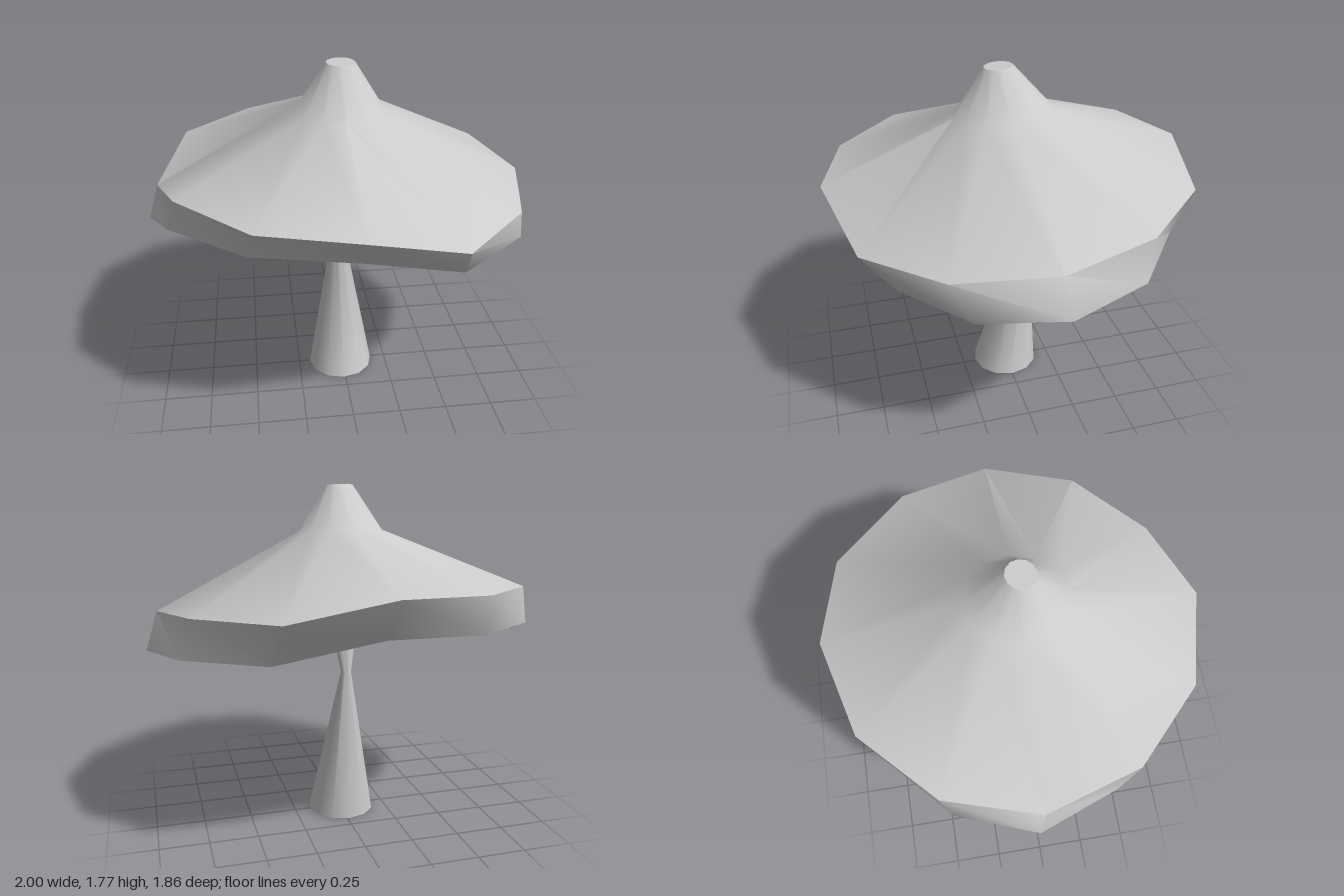
import * as THREE from 'three';
import { toCreasedNormals, mergeVertices } from 'three/addons/utils/BufferGeometryUtils.js';

const SIDES = 12;

// Elliptical ring from the front round to +x; height(i, z) gives each corner's y.
function ring(cx, cz, rx, rz, height) {
  return Array.from({ length: SIDES }, (_, i) => {
    const a = (i / SIDES) * Math.PI * 2;
    const z = cz + rz * Math.cos(a);
    return [cx + rx * Math.sin(a), height(i, z), z];
  });
}

// Skin a stack of rings with the outside facing out, optionally closing the last ring.
function loft(rings, closeEnd, crease) {
  const index = [];
  for (let r = 0; r < rings.length - 1; r++) {
    for (let i = 0; i < SIDES; i++) {
      const j = (i + 1) % SIDES;
      const a = r * SIDES + i, b = r * SIDES + j;
      index.push(a, b, a + SIDES, b, b + SIDES, a + SIDES);
    }
  }
  if (closeEnd) {
    const start = (rings.length - 1) * SIDES;
    for (let i = 1; i < SIDES - 1; i++) index.push(start, start + i, start + i + 1);
  }
  const geometry = new THREE.BufferGeometry();
  geometry.setAttribute('position', new THREE.Float32BufferAttribute(rings.flat(2), 3));
  geometry.setIndex(index);
  return mergeVertices(toCreasedNormals(geometry, crease));
}

export function createModel() {
  const model = new THREE.Group();
  const material = new THREE.MeshStandardMaterial({ color: 0xcccccc, side: THREE.DoubleSide });
  const add = (name, geometry) => {
    const mesh = new THREE.Mesh(geometry, material);
    mesh.name = name;
    model.add(mesh);
  };

  // Wavy brim heights, starting at the front and turning towards +x
  const brim = [1.24, 1.10, 1.12, 1.16, 1.20, 1.22, 1.32, 1.30, 1.28, 1.16, 1.27, 1.25];
  const upperRim = ring(-0.003, -0.003, 0.94, 0.928, (i) => brim[i]);
  const lowerRim = ring(-0.003, -0.03, 1.0, 0.785, (i, z) => brim[i] - 0.19 + 0.013 * z);

  // Slightly uneven back edge
  upperRim[5][2] -= 0.03;
  lowerRim[6][2] += 0.04;

  const stemTop = ring(-0.01, 0, 0.143, 0.138, () => 1.435);

  // Cap: underside from the stem, lip, sloping brim, neck and closed tip
  add('cap', loft([
    stemTop,
    lowerRim,
    upperRim,
    ring(-0.01, 0.01, 0.215, 0.25, (i, z) => 1.537 - 0.07 * z),
    ring(-0.01, 0.03, 0.072, 0.072, (i, z) => 1.768 - 0.07 * z),
  ], true, 0.8));

  // Stem: open hourglass leaning back at the waist
  add('stem', loft([
    ring(-0.01, 0, 0.178, 0.18, () => 0),
    ring(-0.01, -0.107, 0.027, 0.027, () => 0.81),
    stemTop,
  ], false, 0.9));

  return model;
}
